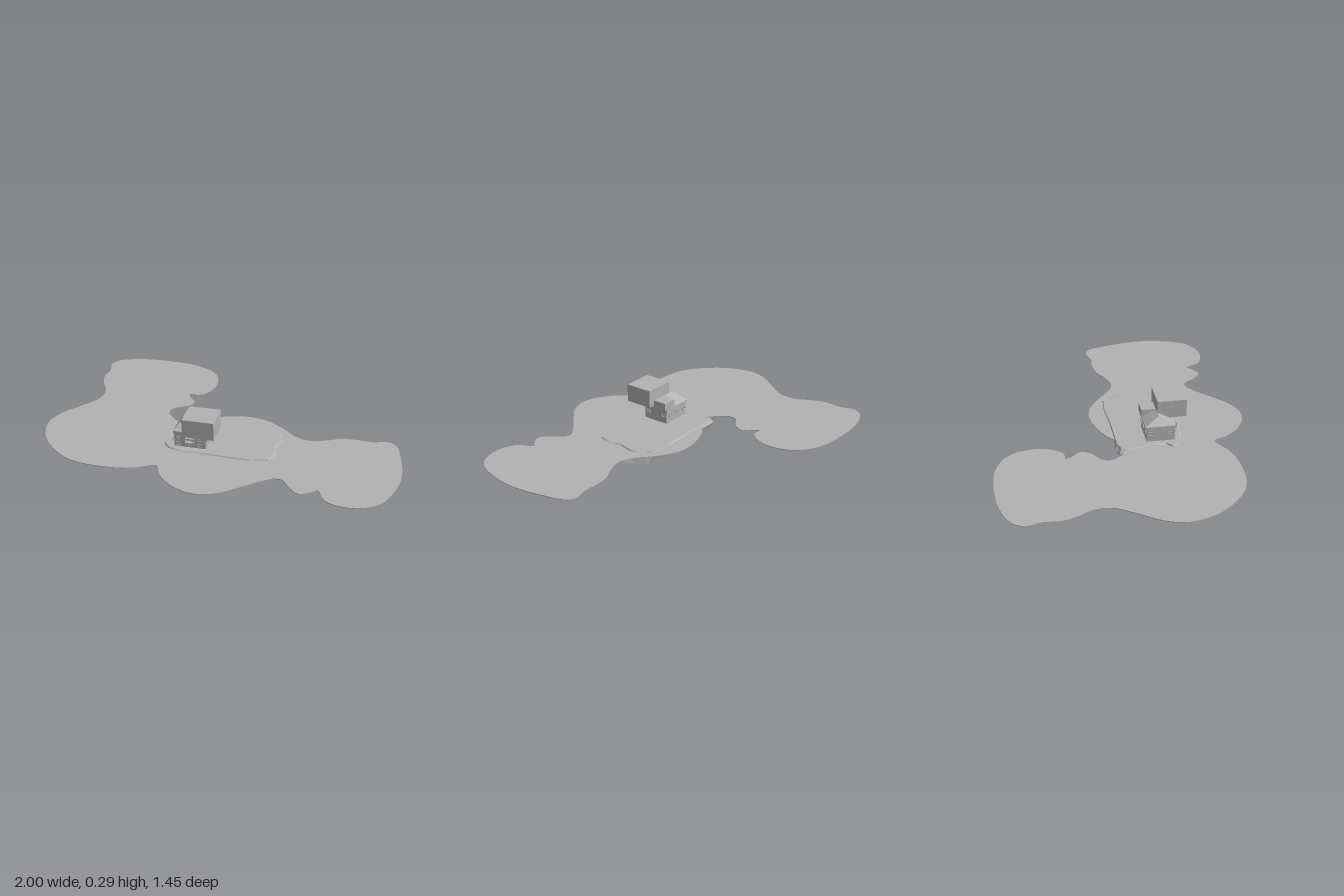
import * as THREE from 'three';

export function createModel() {
  const model = new THREE.Group();
  const grey = new THREE.MeshStandardMaterial({ color: 0xb2b2b2, side: THREE.DoubleSide, flatShading: true });
  grey.name = 'plainGrey';

  const add = (name, geometry, parent = model) => {
    const mesh = new THREE.Mesh(geometry, grey);
    mesh.name = name;
    parent.add(mesh);
    return mesh;
  };
  // Box given by its limits on each axis
  const box = (name, x0, x1, y0, y1, z0, z1, parent) => {
    const mesh = add(name, new THREE.BoxGeometry(x1 - x0, y1 - y0, z1 - z0), parent);
    mesh.position.set((x0 + x1) / 2, (y0 + y1) / 2, (z0 + z1) / 2);
    return mesh;
  };
  // Surface from triangles, smooth or flat by material
  const surface = (positions, index) => {
    const g = new THREE.BufferGeometry();
    g.setAttribute('position', new THREE.Float32BufferAttribute(positions, 3));
    g.setIndex(index);
    const flat = g.toNonIndexed();
    flat.computeVertexNormals();
    return flat;
  };

  // Water: thin sheet with a winding shoreline (x, z pairs)
  const shore = [
    -1, .19, -.97, .08, -.88, -.05, -.82, -.15, -.82, -.25, -.86, -.33, -.89, -.42, -.885, -.52,
    -.905, -.6, -.87, -.66, -.75, -.71, -.55, -.725, -.38, -.705, -.25, -.63, -.2, -.5, -.22, -.39,
    -.27, -.33, -.325, -.325, -.31, -.29, -.27, -.24, -.29, -.19, -.37, -.13, -.375, -.08, -.33, -.02,
    -.27, .02, -.2, -.02, -.1, -.09, .08, -.14, .2, -.115, .3, -.05, .37, .01, .45, .045,
    .55, .02, .63, -.02, .72, -.03, .8, -.025, .88, -.045, .93, -.02, .97, .1, 1, .3,
    .98, .45, .93, .58, .85, .64, .75, .655, .65, .62, .6, .535, .57, .56, .51, .59,
    .45, .54, .41, .485, .37, .475, .31, .51, .2, .61, .1, .69, 0, .72, -.1, .695,
    -.19, .63, -.24, .56, -.27, .5, -.4, .56, -.57, .58, -.75, .55, -.9, .43, -.97, .32,
  ];
  const shorePoints = [];
  for (let i = 0; i < shore.length; i += 2) shorePoints.push(new THREE.Vector3(shore[i], -shore[i + 1], 0));
  const shoreCurve = new THREE.CatmullRomCurve3(shorePoints, true, 'centripetal');
  const waterShape = new THREE.Shape(shoreCurve.getPoints(248).slice(0, -1).map(p => new THREE.Vector2(p.x, p.y)));
  const water = add('water', new THREE.ExtrudeGeometry(waterShape, { depth: 0.004, bevelEnabled: false }));
  water.rotation.x = -Math.PI / 2;
  water.position.y = 0.074;

  // Island: faceted bank, open below, with a flat top
  const rim = [
    [-.28, -.02], [-.24, -.035], [.08, -.035], [.15, -.045], [.26, -.035], [.29, .02], [.32, .08], [.3, .17],
    [.31, .22], [.295, .31], [.2, .335], [-.15, .33], [-.26, .31], [-.3, .265], [-.26, .23], [-.27, .15], [-.285, .07],
  ];
  const n = rim.length;
  const loops = [
    { y: 0.085, grow: 0.985, dx: 0, dz: 0 },
    { y: 0.066, grow: 1.05, dx: 0, dz: 0 },
    { y: 0.022, grow: 1.06, dx: 0.025, dz: 0.018 },
  ];
  const bankPos = [], bankIndex = [];
  loops.forEach(({ y, grow, dx, dz }, k) => {
    rim.forEach(([x, z], i) => {
      const wobble = k === 1 ? (i % 3 - 1) * 0.01 : 0;
      bankPos.push(x * grow + dx, y + wobble, (z - .145) * grow + .145 + dz);
    });
    if (k > 0) for (let i = 0; i < n; i++) {
      const a = (k - 1) * n + i, b = (k - 1) * n + (i + 1) % n;
      bankIndex.push(a, a + n, b, b, a + n, b + n);
    }
  });
  // winding is clockwise in plan, so turn the triangles outward
  for (let i = 0; i < bankIndex.length; i += 3) [bankIndex[i + 1], bankIndex[i + 2]] = [bankIndex[i + 2], bankIndex[i + 1]];
  add('islandBank', surface(bankPos, bankIndex));
  const topShape = new THREE.Shape(rim.map(([x, z]) => new THREE.Vector2(x * .985, -((z - .145) * .985 + .145))));
  const islandTop = add('islandTop', new THREE.ShapeGeometry(topShape));
  islandTop.rotation.x = -Math.PI / 2;
  islandTop.position.y = 0.085;

  // Foundation walls beneath the house, open below
  const foundation = new THREE.Group();
  foundation.name = 'foundation';
  model.add(foundation);
  box('foundationFront', -.24, -.06, 0.006, .076, .28, .288, foundation);
  box('foundationBack', -.18, -.06, 0.012, .076, .04, .048, foundation);
  box('foundationLeft', -.068, -.06, 0.006, .076, .04, .288, foundation);
  box('foundationRight', -.24, -.232, 0.006, .076, .12, .288, foundation);
  box('foundationStep', -.24, -.18, 0.012, .076, .12, .128, foundation);
  box('foundationReturn', -.188, -.18, 0.012, .076, .04, .128, foundation);
  box('foundationPost', -.195, -.185, 0, .076, .2, .21, foundation);

  // House body and eaves
  const house = new THREE.Group();
  house.name = 'house';
  model.add(house);
  box('walls', -.235, -.06, .08, .17, .13, .285, house);
  box('eaves', -.24, -.055, .165, .176, .122, .29, house);

  // Hipped roof
  add('roof', surface(
    [-.24, .176, .122, -.055, .176, .122, -.055, .176, .29, -.24, .176, .29, -.2, .222, .203, -.095, .222, .203],
    [3, 2, 5, 3, 5, 4, 1, 0, 4, 1, 4, 5, 0, 3, 4, 2, 1, 5]), house);

  // Large and small blocks on the roof
  box('upperBlock', -.17, .005, .188, .29, .2, .362, house);
  box('smallBlock', -.12, -.035, .176, .22, .12, .2, house);

  // Windows: thin frames on all four sides
  const frameShape = (w, h) => {
    const s = new THREE.Shape([[-w, -h], [w, -h], [w, h], [-w, h]].map(p => new THREE.Vector2(...p)));
    const a = w - .003, b = h - .003;
    s.holes.push(new THREE.Path([[-a, -b], [-a, b], [a, b], [a, -b]].map(p => new THREE.Vector2(...p))));
    return s;
  };
  const frame = new THREE.ExtrudeGeometry(frameShape(.013, .009), { depth: .005, bevelEnabled: false });
  const windowAt = (x, y, z, turn) => {
    const w = add('windowFrame', frame, house);
    w.position.set(x, y, z);
    w.rotation.y = turn;
  };
  for (const x of [-.212, -.148, -.092]) {
    for (const y of [.102, .135]) windowAt(x, y, .285, 0);
    windowAt(x, .132, .13, Math.PI);
  }
  for (const z of [.152, .26]) {
    windowAt(-.06, .132, z, Math.PI / 2);
    windowAt(-.235, .132, z, -Math.PI / 2);
  }

  // Small balcony on the front
  box('balconyRoof', -.17, -.12, .143, .149, .285, .31, house);
  box('balconyFloor', -.17, -.12, .119, .123, .285, .31, house);
  for (const x of [-.17, -.124]) box('balconyPost', x, x + .004, .119, .149, .304, .31, house);

  return model;
}
